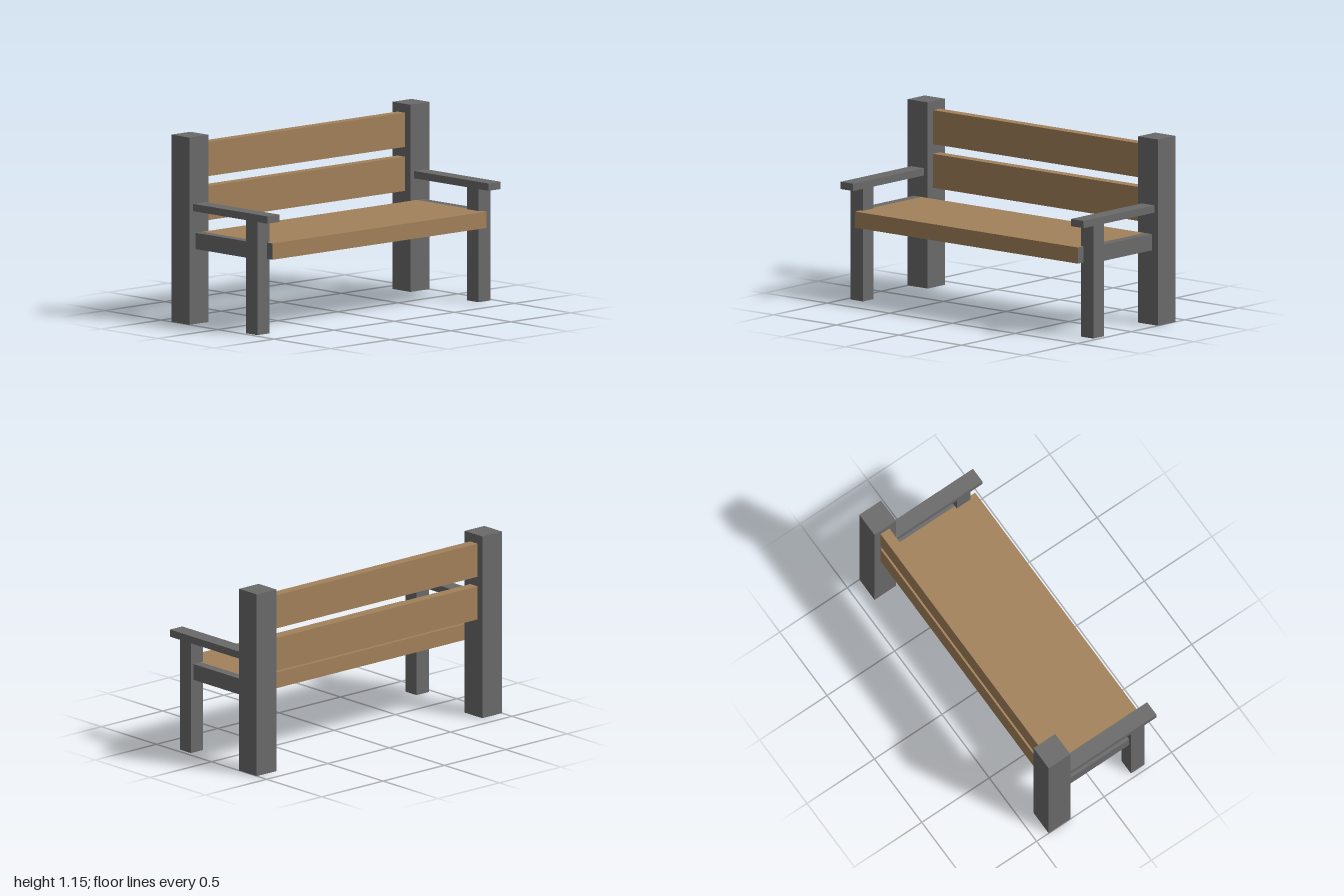
import * as THREE from 'three';

export function createModel() {
  const bench = new THREE.Group();
  bench.name = 'bench';

  const wood = new THREE.MeshStandardMaterial({ color: 0xa3815a });
  wood.name = 'wood';
  const metal = new THREE.MeshStandardMaterial({ color: 0x6a6a6a, side: THREE.DoubleSide });
  metal.name = 'dark grey';

  // Box given by its lower and upper corners
  function box(name, material, [x0, y0, z0], [x1, y1, z1], parent = bench) {
    const geometry = new THREE.BoxGeometry(x1 - x0, y1 - y0, z1 - z0);
    const mesh = new THREE.Mesh(geometry, material);
    mesh.position.set((x0 + x1) / 2, (y0 + y1) / 2, (z0 + z1) / 2);
    mesh.name = name;
    parent.add(mesh);
    return mesh;
  }

  // Hollow foot: drop the downward face of a box
  function openBottom(mesh) {
    const index = Array.from(mesh.geometry.index.array);
    index.splice(18, 6);
    mesh.geometry.setIndex(index);
    mesh.geometry.clearGroups();
  }

  // Seat plank with grey end caps
  box('seat', [metal, metal, wood, wood, wood, wood], [-0.89, 0.46, -0.25], [0.89, 0.56, 0.37]);

  // Backrest slats between the posts
  box('lowerBackSlat', wood, [-0.84, 0.615, -0.365], [0.84, 0.825, -0.3]);
  box('upperBackSlat', wood, [-0.84, 0.885, -0.365], [0.84, 1.095, -0.3]);

  // Side frames, mirrored left and right
  for (const [label, s] of [['left', 1], ['right', -1]]) {
    const frame = new THREE.Group();
    frame.name = label + 'Frame';
    const part = (name, x0, x1, y0, y1, z0, z1) =>
      box(label + name, metal, [s > 0 ? x0 : -x1, y0, z0], [s > 0 ? x1 : -x0, y1, z1], frame);
    openBottom(part('BackPost', 0.84, 1, 0, 1.15, -0.41, -0.25));
    openBottom(part('FrontLeg', 0.87, 0.97, 0, 0.695, 0.22, 0.32));
    part('Armrest', 0.87, 0.97, 0.695, 0.74, -0.25, 0.41);
    part('SeatRail', 0.89, 0.95, 0.46, 0.56, -0.25, 0.22);
    bench.add(frame);
  }

  return bench;
}
